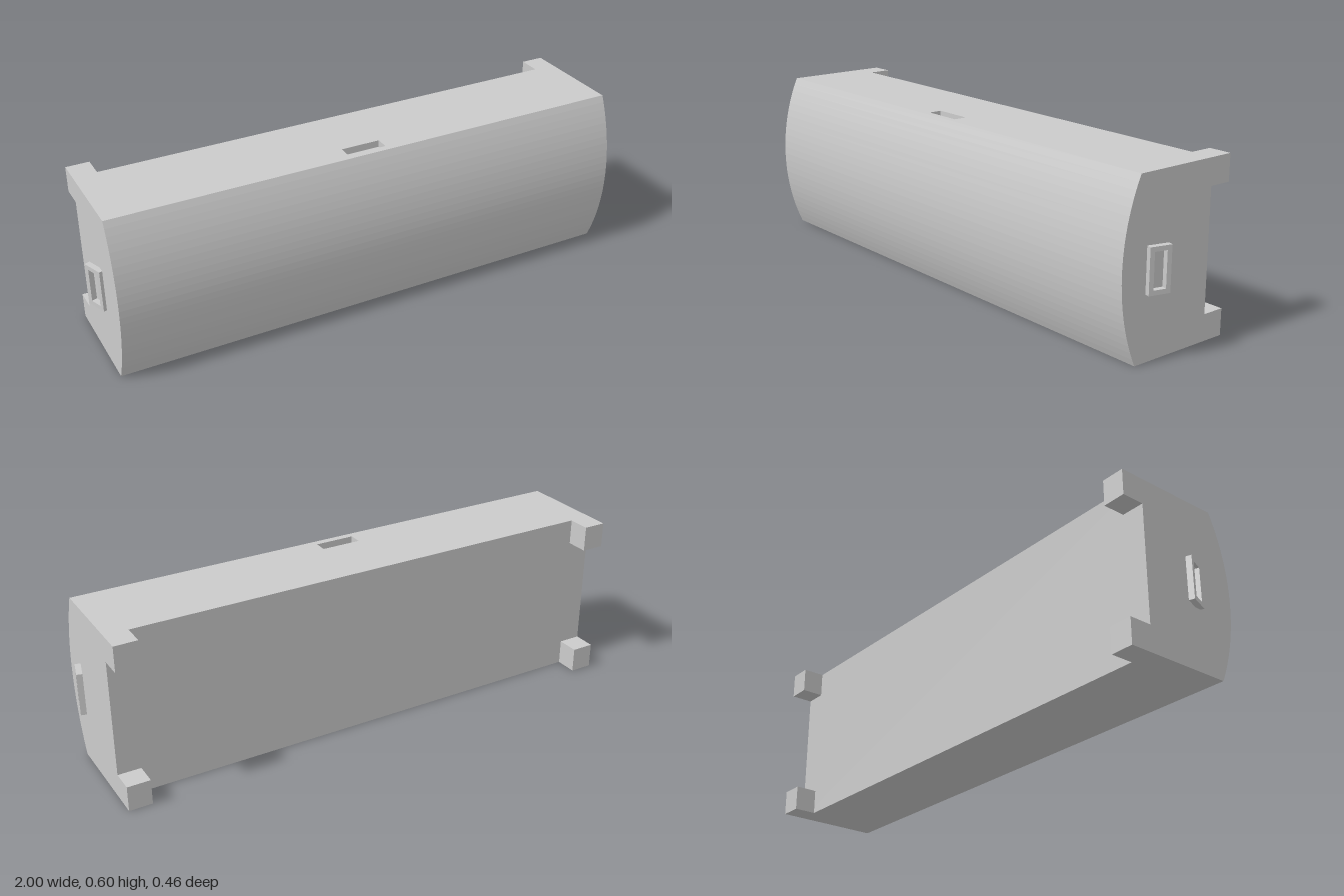
import * as THREE from 'three';

const material = new THREE.MeshStandardMaterial({ color: 0xcccccc, flatShading: true });
const HALF = 0.963, H = 0.604, BACK = -0.148, EDGE = 0.163, FOOT_BACK = -0.23;

function add(parent, name, geometry, mat = material) {
  const mesh = new THREE.Mesh(geometry, mat);
  mesh.name = name;
  parent.add(mesh);
  return mesh;
}

// Rectangular outline from two corners
function rect(x0, y0, x1, y1, Type = THREE.Shape) {
  return new Type([[x0, y0], [x1, y0], [x1, y1], [x0, y1]].map(p => new THREE.Vector2(...p)));
}

// Drop the faces of a geometry that look straight up
function withoutTop(geometry) {
  const src = geometry.index ? geometry.toNonIndexed() : geometry;
  const p = src.attributes.position, n = src.attributes.normal, kept = [];
  for (let i = 0; i < p.count; i += 3) {
    if (n.getY(i) > 0.99) continue;
    for (let k = i; k < i + 3; k++) kept.push(p.getX(k), p.getY(k), p.getZ(k));
  }
  const out = new THREE.BufferGeometry();
  out.setAttribute('position', new THREE.Float32BufferAttribute(kept, 3));
  out.computeVertexNormals();
  return out;
}

// Extrude a (-z, y) side profile along x, centred
function extrudeX(shape, length) {
  return new THREE.ExtrudeGeometry(shape, { depth: length, bevelEnabled: false })
    .translate(0, 0, -length / 2).rotateY(Math.PI / 2);
}

// Small rectangular loop, tilted off the end wall
function addHandle(parent, name, x, y, z, tilt) {
  const frame = rect(-0.038, -0.077, 0.038, 0.077);
  frame.holes.push(rect(-0.022, -0.061, 0.022, 0.061, THREE.Path));
  const handle = add(parent, name, extrudeX(frame, 0.02));
  handle.position.set(x, y, z);
  handle.rotation.y = tilt;
}

export function createModel() {
  const model = new THREE.Group();
  model.name = 'box';

  // Body with a bowed front
  const radius = 0.714, centre = 0.23 - radius, segments = 24;
  const half = Math.asin(H / 2 / radius);
  const points = [new THREE.Vector2(-BACK, 0), new THREE.Vector2(-BACK, H), new THREE.Vector2(-EDGE, H)];
  for (let i = 1; i < segments; i++) {
    const a = half * (1 - 2 * i / segments);
    points.push(new THREE.Vector2(-centre - radius * Math.cos(a), H / 2 + radius * Math.sin(a)));
  }
  points.push(new THREE.Vector2(-EDGE, 0));
  add(model, 'body', withoutTop(extrudeX(new THREE.Shape(points), 2 * HALF)));

  // Top panel with a shallow slot
  const slot = { x0: -0.092, x1: 0.052, z0: 0.09, z1: 0.138, depth: 0.025 };
  const panel = rect(-HALF, -EDGE, HALF, -BACK);
  panel.holes.push(rect(slot.x0, -slot.z1, slot.x1, -slot.z0, THREE.Path));
  add(model, 'topPanel', new THREE.ShapeGeometry(panel).rotateX(-Math.PI / 2).translate(0, H, 0));

  const inside = material.clone();
  inside.side = THREE.BackSide;
  const pocket = new THREE.BoxGeometry(slot.x1 - slot.x0, slot.depth, slot.z1 - slot.z0);
  add(model, 'topSlot', withoutTop(pocket), inside)
    .position.set((slot.x0 + slot.x1) / 2, H - slot.depth / 2, (slot.z0 + slot.z1) / 2);

  // Four corner feet on the back
  const fw = 0.083, fh = 0.092, fd = BACK - FOOT_BACK;
  for (const sx of [-1, 1]) {
    for (const y of [fh / 2, H - fh / 2]) {
      add(model, 'backFoot', new THREE.BoxGeometry(fw, fh, fd))
        .position.set(sx * (HALF - fw / 2), y, BACK - fd / 2);
    }
  }

  // Side handles, slightly different in place and tilt
  addHandle(model, 'leftHandle', 0.981, 0.3, 0.0925, -0.26);
  addHandle(model, 'rightHandle', -0.978, 0.297, 0.05, 0.35);

  return model;
}
